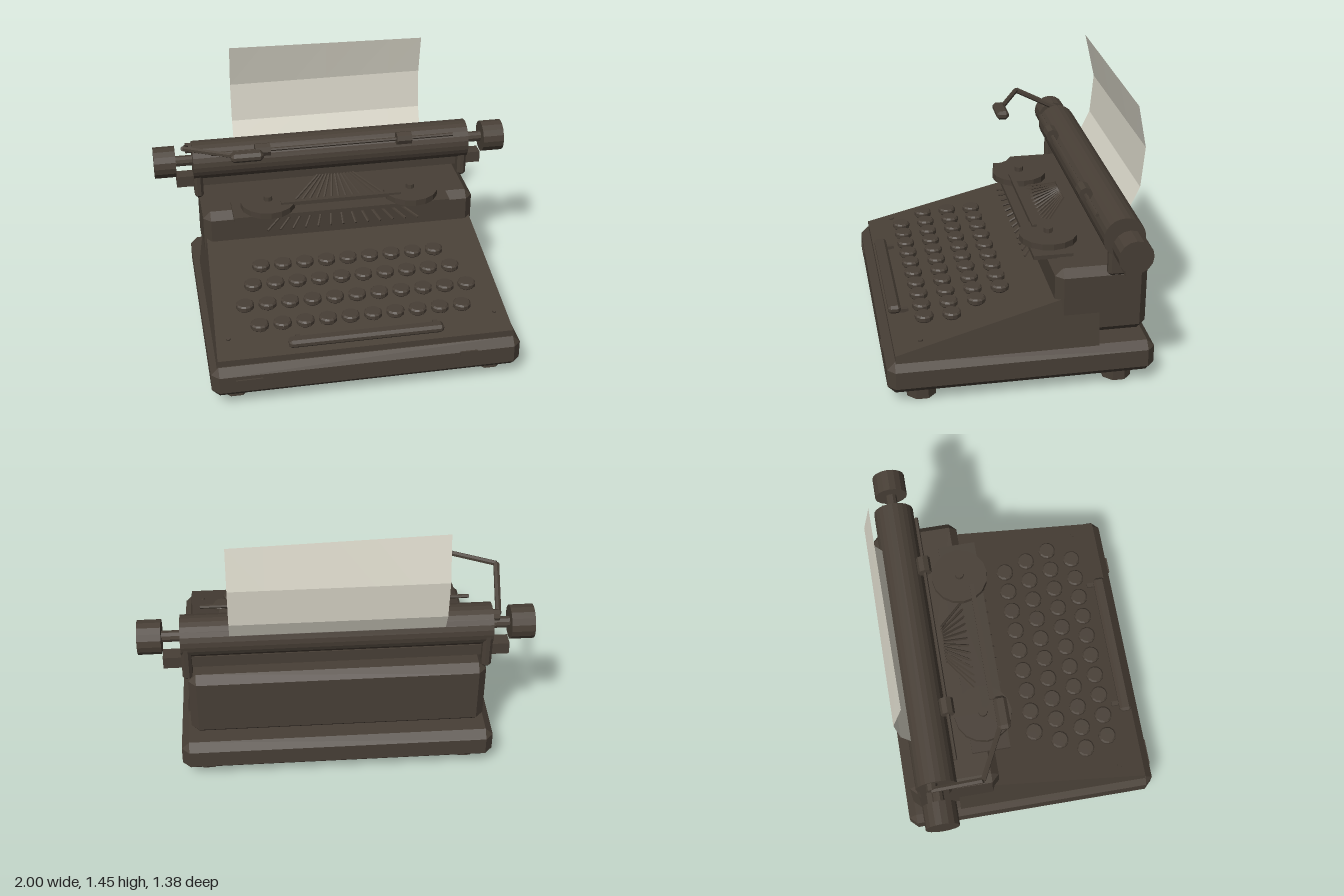
import * as THREE from 'three';
import { ConvexGeometry } from 'three/addons/geometries/ConvexGeometry.js';

export function createModel() {
  const model = new THREE.Group();
  const enamel = new THREE.MeshStandardMaterial({ color: 0x483f36 });
  enamel.name = 'dark enamel';
  enamel.flatShading = true;
  const paper = new THREE.MeshStandardMaterial({ color: 0xdcd9cb, side: THREE.DoubleSide });
  paper.name = 'paper';
  paper.flatShading = true;

  function add(name, geometry, x = 0, y = 0, z = 0, material = enamel) {
    const mesh = new THREE.Mesh(geometry, material);
    mesh.name = name;
    mesh.position.set(x, y, z);
    model.add(mesh);
    return mesh;
  }
  const box = (w, h, d) => new THREE.BoxGeometry(w, h, d);
  const disc = (r, h, n = 16) => new THREE.CylinderGeometry(r, r, h, n);
  const axle = (r, l, n = 16) => disc(r, l, n).rotateZ(Math.PI / 2);

  // Box with every edge cut at 45 degrees
  function chamferBox(w, h, d, c) {
    const points = [];
    for (const sx of [-1, 1]) for (const sy of [-1, 1]) for (const sz of [-1, 1]) {
      const x = w / 2, y = h / 2, z = d / 2;
      points.push(
        new THREE.Vector3(sx * x, sy * (y - c), sz * (z - c)),
        new THREE.Vector3(sx * (x - c), sy * y, sz * (z - c)),
        new THREE.Vector3(sx * (x - c), sy * (y - c), sz * z));
    }
    return new ConvexGeometry(points);
  }

  // Straight bar between two points
  function bar(name, a, b, r, sides = 6) {
    const from = new THREE.Vector3(...a), to = new THREE.Vector3(...b);
    const dir = to.clone().sub(from);
    const mid = from.clone().add(to).multiplyScalar(0.5);
    const mesh = add(name, disc(r, dir.length(), sides), mid.x, mid.y, mid.z);
    mesh.quaternion.setFromUnitVectors(new THREE.Vector3(0, 1, 0), dir.normalize());
  }

  // Base tray and feet
  add('base', chamferBox(1.636, 0.175, 1.375, 0.04), 0, 0.1525, -0.003);
  for (const x of [-0.685, 0.685]) for (const z of [0.507, -0.515])
    add('foot', disc(0.08, 0.07, 8).rotateY(Math.PI / 8), x, 0.035, z);

  // Sloping keyboard deck, narrowing upwards
  const deckProfile = [[0.64, 0.235], [0.64, 0.275], [-0.21, 0.5], [-0.4, 0.5], [-0.4, 0.235]];
  const deckPoints = [];
  for (const [z, y] of deckProfile) for (const side of [-1, 1])
    deckPoints.push(new THREE.Vector3(side * (0.785 - (y - 0.24) * 0.145), y, z));
  add('keyboardDeck', new ConvexGeometry(deckPoints));

  // Rear housing
  add('rearHousing', chamferBox(1.52, 0.375, 0.475, 0.04), 0, 0.4725, -0.4125);

  // Round keys in four rows
  const capGeometry = new THREE.LatheGeometry([
    [0, -0.018], [0.04, -0.018], [0.048, -0.01], [0.048, 0.01], [0.04, 0.018], [0, 0.018],
  ].map(([r, y]) => new THREE.Vector2(r, y)), 12);
  const rows = [[9, 0.062, 0.457], [10, 0.195, 0.427], [11, 0.33, 0.391], [10, 0.465, 0.353]];
  for (const [count, z, y] of rows) for (let i = 0; i < count; i++) {
    const x = (i - (count - 1) / 2) * 0.12;
    add('keyCap', capGeometry, x, y, z);
    add('keyStem', disc(0.015, 0.06, 6), x, y - 0.03, z);
  }

  // Space bar with its arms, and deck screws
  add('spaceBar', chamferBox(0.815, 0.045, 0.066, 0.014), 0, 0.322, 0.602);
  for (const s of [-1, 1]) {
    add('spaceBarArm', box(0.024, 0.02, 0.07), s * 0.365 + 0.012, 0.308, 0.565);
    const screw = add('deckScrew', disc(0.012, 0.012, 8), s * 0.71, 0.314, 0.505);
    screw.rotation.x = 0.26;
  }

  // Small plates on the front of the base
  add('frontPlate', box(0.14, 0.024, 0.008), -0.625, 0.168, 0.688);
  add('frontPlate', box(0.09, 0.024, 0.008), 0.53, 0.196, 0.688);

  // Ribbon shelf, spools and ribbon
  add('spoolShelf', box(1.2, 0.022, 0.205), 0, 0.666, -0.193);
  for (const s of [-1, 1]) {
    add('spool', disc(0.153, 0.035, 16), s * 0.4, 0.692, -0.205);
    add('spoolHub', disc(0.024, 0.03, 8), s * 0.4, 0.72, -0.205);
  }
  add('ribbon', box(0.67, 0.022, 0.025), 0, 0.711, -0.147);

  // Fan of type bars
  for (let i = -6; i <= 6; i++) {
    const t = i / 6;
    bar('typeBar', [t * 0.42, 0.587, -0.08], [t * 0.1, 0.755, -0.352], 0.007, 5);
  }

  // Carriage: rail, end brackets, platen and knobs
  add('carriageRail', box(1.76, 0.065, 0.075), 0, 0.708, -0.528);
  add('platen', axle(0.107, 1.57, 24), 0, 0.835, -0.507);
  add('platenShaft', axle(0.03, 1.8, 10), 0, 0.835, -0.507);
  for (const s of [-1, 1]) {
    add('carriageBracket', chamferBox(0.05, 0.22, 0.18, 0.015), s * 0.76, 0.737, -0.522);
    add('platenKnob', axle(0.088, 0.12, 16), s * 0.94, 0.835, -0.507);
  }

  // Paper bail with two rollers
  add('paperBail', axle(0.01, 1.37, 6), 0, 0.922, -0.39);
  for (const s of [-1, 1]) add('bailRoller', axle(0.037, 0.085, 8), s * 0.4, 0.925, -0.39);

  // Carriage return lever
  const lever = [[-0.815, 0.905, -0.53], [-0.84, 1.033, -0.27], [-0.58, 1.033, -0.14]];
  bar('returnLeverArm', lever[0], lever[1], 0.016);
  bar('returnLeverArm', lever[1], lever[2], 0.014);
  add('returnLeverPivot', axle(0.03, 0.04, 8), -0.8, 0.9, -0.53);
  add('returnLeverGrip', chamferBox(0.175, 0.05, 0.068, 0.016), -0.513, 1.035, -0.12);

  // Curled sheet of paper, slightly askew at the top
  const sheet = new THREE.PlaneGeometry(1.08, 1, 6, 3);
  const curl = [[1.438, -0.614], [1.205, -0.664], [0.99, -0.645], [0.87, -0.59]];
  const p = sheet.attributes.position;
  for (let i = 0; i < p.count; i++) {
    const row = Math.floor(i / 7);
    const skew = row === 0 ? p.getX(i) / 0.54 : 0;
    p.setY(i, curl[row][0] - skew * 0.012);
    p.setZ(i, curl[row][1] - skew * 0.006);
  }
  sheet.computeVertexNormals();
  add('paperSheet', sheet, 0, 0, 0, paper);

  return model;
}
